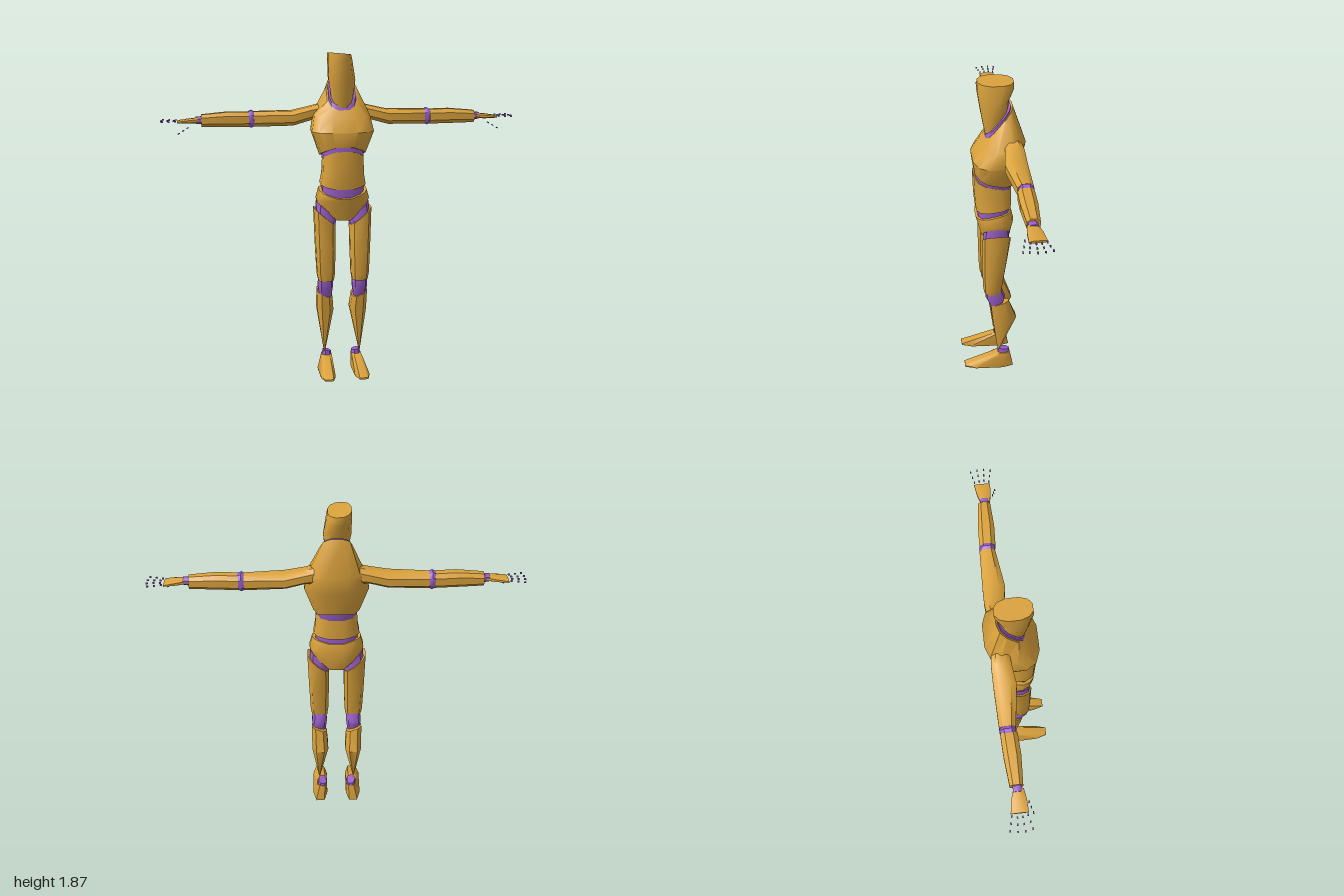
import * as THREE from 'three';
import { toCreasedNormals } from 'three/addons/utils/BufferGeometryUtils.js';

const gold = new THREE.MeshStandardMaterial({ color: 0xdaa23c });
gold.name = 'golden shell';
const purple = new THREE.MeshStandardMaterial({ color: 0x9a60cc });
purple.name = 'purple joint';

// Capped loft through rings, listed bottom to top.
// ring = [cx, cy, cz, halfX, halfZ, tiltX, tiltZ, arch]; arch lowers the sides
function loft(rings, n = 10, square = 0.8) {
  const pos = [], index = [];
  const bend = (v) => Math.sign(v) * Math.pow(Math.abs(v), square);
  for (const [cx, cy, cz, hx, hz, tx = 0, tz = 0, arch = 0] of rings) {
    for (let i = 0; i < n; i++) {
      const a = ((i + 0.5) / n) * Math.PI * 2;
      const u = bend(Math.cos(a)), dx = hx * u, dz = hz * bend(Math.sin(a));
      pos.push(cx + dx, cy + tx * dx + tz * dz - arch * Math.abs(u), cz + dz);
    }
  }
  for (let r = 0; r < rings.length - 1; r++) {
    for (let i = 0; i < n; i++) {
      const a = r * n + i, b = r * n + ((i + 1) % n);
      index.push(a, a + n, b, b, a + n, b + n);
    }
  }
  const base = rings.length * n, top = base - n;
  for (const [cx, cy, cz, , , , , arch = 0] of [rings[0], rings[rings.length - 1]]) {
    pos.push(cx, cy - arch * 0.4, cz);
  }
  for (let i = 0; i < n; i++) {
    const j = (i + 1) % n;
    index.push(base, i, j, base + 1, top + j, top + i);
  }
  const g = new THREE.BufferGeometry();
  g.setAttribute('position', new THREE.Float32BufferAttribute(pos, 3));
  g.setIndex(index);
  return g;
}

function add(parent, name, geometry, material) {
  const mesh = new THREE.Mesh(toCreasedNormals(geometry, 0.72), material);
  mesh.name = name;
  parent.add(mesh);
  return mesh;
}

// Arm pieces: ring = [x, yMin, yMax, zMin, zMax], lofted along x
function armLoft(rings, n = 8) {
  const g = loft(rings.map(([x, y0, y1, z0, z1]) =>
    [-(y0 + y1) / 2, x, (z0 + z1) / 2, (y1 - y0) / 2, (z1 - z0) / 2]), n);
  return g.rotateZ(-Math.PI / 2);
}

function buildArm() {
  const arm = new THREE.Group();
  add(arm, 'upperArm', armLoft([
    [0.12, 1.49, 1.585, -0.16, -0.06],
    [0.17, 1.49, 1.572, -0.165, -0.055],
    [0.27, 1.463, 1.55, -0.165, -0.04],
    [0.485, 1.458, 1.547, -0.158, -0.07],
  ]), gold);
  add(arm, 'elbow', armLoft([
    [0.475, 1.465, 1.54, -0.15, -0.075],
    [0.50, 1.452, 1.555, -0.158, -0.07],
    [0.53, 1.465, 1.54, -0.148, -0.075],
  ]), purple);
  add(arm, 'forearm', armLoft([
    [0.515, 1.458, 1.545, -0.156, -0.065],
    [0.63, 1.46, 1.548, -0.152, -0.06],
    [0.775, 1.463, 1.535, -0.138, -0.068],
  ]), gold);
  add(arm, 'wrist', armLoft([
    [0.765, 1.478, 1.525, -0.125, -0.075],
    [0.805, 1.483, 1.522, -0.122, -0.075],
  ]), purple);
  add(arm, 'hand', armLoft([
    [0.79, 1.487, 1.517, -0.122, -0.068],
    [0.84, 1.485, 1.513, -0.138, -0.058],
    [0.905, 1.488, 1.502, -0.148, -0.055],
  ]), gold);
  // Tiny fanned finger joints
  for (let f = 0; f < 4; f++) {
    for (let k = 0; k < 3; k++) {
      const reach = 0.925 + k * 0.034 - (f === 0 || f === 3 ? 0.008 : 0);
      const joint = add(arm, 'fingerJoint', new THREE.BoxGeometry(0.01, 0.008, 0.007), purple);
      joint.position.set(reach, 1.5, -0.102 + (f - 1.5) * (0.026 + k * 0.005));
    }
  }
  for (let k = 0; k < 3; k++) {
    const joint = add(arm, 'thumbJoint', new THREE.BoxGeometry(0.012, 0.006, 0.006), purple);
    joint.position.set(0.85 + k * 0.024, 1.466 - k * 0.014, -0.05 + k * 0.008);
    joint.rotation.z = -0.5;
  }
  return arm;
}

function buildLeg() {
  const leg = new THREE.Group();
  add(leg, 'hip', loft([
    [0.098, 0.94, -0.025, 0.055, 0.075, 0.9],
    [0.092, 0.995, -0.025, 0.058, 0.07, 0.85],
  ]), purple);
  add(leg, 'thigh', loft([
    [0.098, 0.58, -0.005, 0.046, 0.05],
    [0.099, 0.62, -0.005, 0.053, 0.056],
    [0.1, 0.78, -0.014, 0.059, 0.07],
    [0.103, 0.955, -0.025, 0.063, 0.082, 0.85],
  ]), gold);
  add(leg, 'knee', loft([
    [0.1, 0.475, -0.025, 0.036, 0.03],
    [0.1, 0.545, -0.02, 0.045, 0.058],
    [0.098, 0.605, -0.01, 0.04, 0.045],
  ]), purple);
  add(leg, 'shin', loft([
    [0.104, 0.13, -0.04, 0.004, 0.005],
    [0.097, 0.385, -0.073, 0.05, 0.075],
    [0.102, 0.495, -0.045, 0.047, 0.056, 0.4, -0.3],
  ], 8), gold);
  add(leg, 'ankle', loft([
    [0.088, 0.095, -0.073, 0.027, 0.037],
    [0.086, 0.122, -0.073, 0.024, 0.036, 0.2, 0.15],
  ], 8), purple);
  add(leg, 'foot', loft([
    [0.1, 0.012, 0.02, 0.044, 0.155, 0, 0.07],
    [0.1, 0.022, 0.02, 0.045, 0.155, 0, 0.07],
    [0.088, 0.1, -0.07, 0.03, 0.042],
  ], 8, 0.65), gold);
  return leg;
}

export function createModel() {
  const model = new THREE.Group();
  model.name = 'jointedMannequin';

  // Head with a sloping jaw, and the neck under it
  add(model, 'head', loft([
    [-0.002, 1.645, -0.036, 0.062, 0.062, 0, -1.25],
    [-0.004, 1.73, -0.026, 0.076, 0.075, 0, -0.45],
    [-0.012, 1.82, -0.03, 0.068, 0.098, 0, 0],
    [-0.016, 1.863, -0.032, 0.064, 0.097, -0.09, 0.04],
  ], 12, 0.85), gold);
  add(model, 'neck', loft([
    [0, 1.59, -0.04, 0.08, 0.075, 0, -1.1],
    [0, 1.66, -0.043, 0.077, 0.066, 0, -1.2],
  ], 12, 0.7), purple);

  // Torso
  add(model, 'chest', loft([
    [0, 1.345, -0.022, 0.128, 0.112, 0, 0.25, 0.035],
    [0, 1.44, -0.033, 0.177, 0.133],
    [0, 1.53, -0.068, 0.16, 0.119, 0, -0.1],
    [0, 1.642, -0.042, 0.087, 0.078, 0, -1.25],
  ], 12, 0.7), gold);
  add(model, 'ribJoint', loft([
    [0, 1.28, -0.014, 0.113, 0.1, 0, 0.25],
    [0, 1.375, -0.022, 0.122, 0.107, 0, 0.25, 0.035],
  ], 12, 0.7), purple);
  add(model, 'abdomen', loft([
    [0, 1.125, -0.017, 0.13, 0.1, 0, -0.1, -0.02],
    [0, 1.2, -0.013, 0.119, 0.102],
    [0, 1.32, -0.01, 0.115, 0.104, 0, 0.27, 0.03],
  ], 12, 0.7), gold);
  add(model, 'waistJoint', loft([
    [0, 1.05, -0.018, 0.118, 0.088],
    [0, 1.14, -0.016, 0.12, 0.092, 0, -0.1, -0.015],
  ], 12, 0.7), purple);
  add(model, 'pelvis', loft([
    [0, 0.905, -0.03, 0.145, 0.08, 0, 0, -0.13],
    [0, 1.045, -0.026, 0.152, 0.104, 0, 0, -0.015],
    [0, 1.08, -0.016, 0.137, 0.1, 0, -0.2, -0.035],
  ], 16, 0.8), gold);

  // Mirrored limbs
  for (const [side, s] of [['left', 1], ['right', -1]]) {
    const arm = buildArm(), leg = buildLeg();
    arm.name = side + 'Arm';
    leg.name = side + 'Leg';
    arm.scale.x = leg.scale.x = s;
    model.add(arm, leg);
  }
  return model;
}
